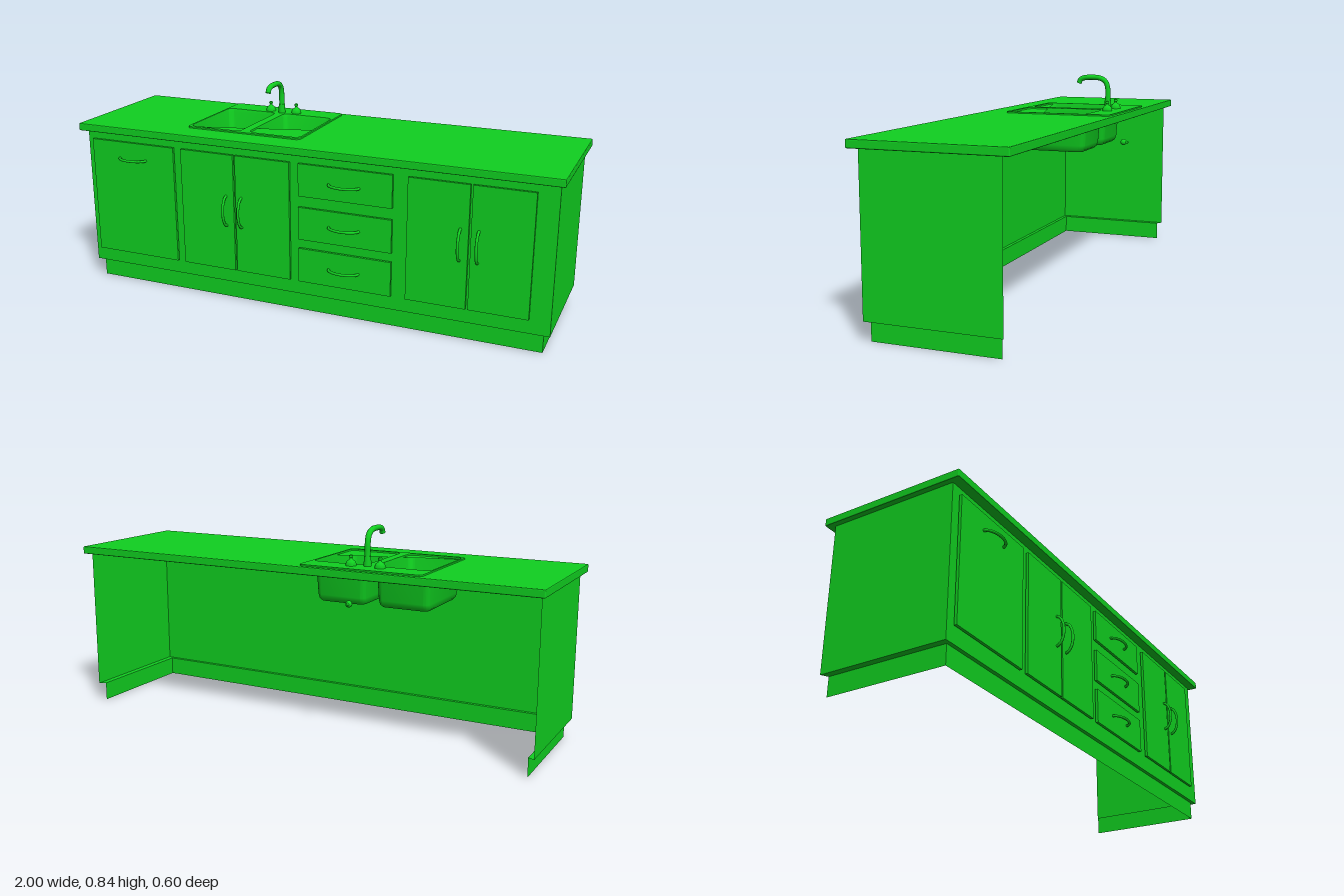
import * as THREE from 'three';
import { toCreasedNormals } from 'three/addons/utils/BufferGeometryUtils.js';

const GREEN = 0x10d020;
const solid = new THREE.MeshStandardMaterial({ color: GREEN });
const thin = new THREE.MeshStandardMaterial({ color: GREEN, side: THREE.DoubleSide });

function add(parent, name, geometry, material = solid) {
  const mesh = new THREE.Mesh(geometry, material);
  mesh.name = name;
  parent.add(mesh);
  return mesh;
}

// Rounded rectangle in plan, drawn with x across and z as the shape's y.
function roundedRect(x0, x1, z0, z1, r, Type = THREE.Shape) {
  const s = new Type();
  s.moveTo(x0 + r, z0);
  s.lineTo(x1 - r, z0);
  s.absarc(x1 - r, z0 + r, r, -Math.PI / 2, 0);
  s.lineTo(x1, z1 - r);
  s.absarc(x1 - r, z1 - r, r, 0, Math.PI / 2);
  s.lineTo(x0 + r, z1);
  s.absarc(x0 + r, z1 - r, r, Math.PI / 2, Math.PI);
  s.lineTo(x0, z0 + r);
  s.absarc(x0 + r, z0 + r, r, Math.PI, Math.PI * 1.5);
  return s;
}

// Horizontal slab from a plan shape, reaching from top down by height.
function slab(shape, top, height, bevel) {
  const g = new THREE.ExtrudeGeometry(shape, {
    depth: height - 2 * bevel, curveSegments: 6,
    bevelEnabled: true, bevelThickness: bevel, bevelSize: bevel, bevelOffset: -bevel, bevelSegments: 2,
  });
  g.rotateX(Math.PI / 2);
  g.translate(0, top - bevel, 0);
  return g;
}

// Skin between equally long rows of [x, y, z] points.
function loft(rows, closed) {
  const n = rows[0].length;
  const index = [];
  for (let i = 0; i < rows.length - 1; i++) {
    for (let j = 0; j < (closed ? n : n - 1); j++) {
      const a = i * n + j, b = i * n + (j + 1) % n;
      index.push(a, b, a + n, b, b + n, a + n);
    }
  }
  const g = new THREE.BufferGeometry();
  g.setAttribute('position', new THREE.Float32BufferAttribute(rows.flat(2), 3));
  g.setIndex(index);
  return toCreasedNormals(g, 0.7);
}

// Three-sided row of the cabinet carcass, open at the back.
const carcassRow = (x, y, back, front) => [[-x, y, back], [-x, y, front], [x, y, front], [x, y, back]];

// Tapering basin, open at the top.
function basin(x0, x1, z0, z1) {
  const cx = (x0 + x1) / 2, cz = (z0 + z1) / 2;
  const outline = roundedRect(x0, x1, z0, z1, 0.025).getPoints(5).slice(0, -1);
  const levels = [[0.692, 1], [0.68, 0.98], [0.56, 0.93], [0.542, 0.9], [0.533, 0.84], [0.531, 0]];
  return loft(levels.map(([y, k]) =>
    outline.map((p) => [cx + (p.x - cx) * k, y, cz + (p.y - cz) * k])), true);
}

// Bow handle, horizontal unless upright.
function addHandle(parent, x, y, upright) {
  const pts = [];
  for (let i = 0; i <= 10; i++) {
    const a = Math.PI * i / 10;
    pts.push(new THREE.Vector3(-0.062 * Math.cos(a), 0, 0.034 * Math.sin(a)));
  }
  const g = new THREE.TubeGeometry(new THREE.CatmullRomCurve3(pts), 24, 0.0055, 8);
  const mesh = add(parent, 'handle', g);
  mesh.position.set(x, y, 0.259);
  if (upright) mesh.rotation.z = Math.PI / 2;
}

function addFront(parent, name, x0, x1, y0, y1) {
  const g = new THREE.BoxGeometry(x1 - x0, y1 - y0, 0.011);
  add(parent, name, g).position.set((x0 + x1) / 2, (y0 + y1) / 2, 0.2565);
}

// Turned knob standing on its base.
function knobGeometry() {
  const profile = [[0, 0], [0.021, 0], [0.021, 0.007], [0.016, 0.018], [0.007, 0.024],
    [0.005, 0.029], [0.008, 0.034], [0.007, 0.04], [0, 0.043]];
  return toCreasedNormals(new THREE.LatheGeometry(profile.map(([x, y]) => new THREE.Vector2(x, y)), 16), 0.7);
}

export function createModel() {
  const model = new THREE.Group();
  model.name = 'kitchenSinkCabinet';

  // Carcass with recessed plinth
  add(model, 'carcass', loft([
    carcassRow(0.98, 0.66, -0.265, 0.245),
    carcassRow(0.98, 0.075, -0.265, 0.245),
    carcassRow(0.955, 0.075, -0.25, 0.23),
    carcassRow(0.955, 0, -0.25, 0.23),
  ], false), thin);

  // Worktop with sink cutout
  const top = roundedRect(-1, 1, -0.298, 0.282, 0.004);
  top.holes.push(roundedRect(-0.543, -0.05, -0.185, 0.16, 0.025, THREE.Path));
  add(model, 'worktop', slab(top, 0.687, 0.031, 0.004));

  // Double sink
  const sink = new THREE.Group();
  sink.name = 'sink';
  model.add(sink);
  const basins = [[-0.54, -0.315], [-0.277, -0.055]];
  const rim = roundedRect(-0.548, -0.046, -0.28, 0.172, 0.02);
  for (const [x0, x1] of basins) {
    rim.holes.push(roundedRect(x0, x1, -0.18, 0.155, 0.025, THREE.Path));
    add(sink, 'basin', basin(x0, x1, -0.18, 0.155), thin);
  }
  add(sink, 'sinkRim', slab(rim, 0.693, 0.007, 0.001));

  // Tap: spout, collar and two turning knobs
  const tap = new THREE.Group();
  tap.name = 'tap';
  model.add(tap);
  const path = [[0.69, -0.195], [0.74, -0.195], [0.785, -0.194], [0.811, -0.184], [0.825, -0.16],
    [0.828, -0.125], [0.825, -0.088], [0.817, -0.072], [0.803, -0.066]]
    .map(([y, z]) => new THREE.Vector3(-0.295, y, z));
  const curve = new THREE.CatmullRomCurve3(path);
  add(tap, 'spout', new THREE.TubeGeometry(curve, 40, 0.011, 12), thin);
  add(tap, 'spoutCollar', new THREE.CylinderGeometry(0.013, 0.015, 0.04, 16)).position.set(-0.295, 0.711, -0.195);
  for (const x of [-0.355, -0.235]) {
    add(tap, 'tapKnob', knobGeometry(), thin).position.set(x, 0.692, -0.212);
  }

  // Small valve knob behind the basins
  const valve = add(model, 'valveKnob', new THREE.SphereGeometry(0.013, 14, 10));
  valve.position.set(-0.26, 0.56, -0.278);
  const tip = add(model, 'valveTip', new THREE.CylinderGeometry(0.004, 0.007, 0.012, 10));
  tip.rotation.x = -Math.PI / 2;
  tip.position.set(-0.26, 0.56, -0.292);

  // Doors
  const doors = [[-0.95, -0.565], [-0.53, -0.294], [-0.285, -0.05], [0.43, 0.665], [0.674, 0.902]];
  for (const [x0, x1] of doors) addFront(model, 'door', x0, x1, 0.135, 0.621);
  addHandle(model, -0.758, 0.552, false);
  for (const x of [-0.328, -0.26, 0.634, 0.703]) addHandle(model, x, 0.387, true);

  // Drawers
  for (const [y0, y1, yh] of [[0.49, 0.621, 0.552], [0.312, 0.445, 0.38], [0.135, 0.275, 0.205]]) {
    addFront(model, 'drawer', -0.012, 0.371, y0, y1);
    addHandle(model, 0.178, yh, false);
  }
  return model;
}
